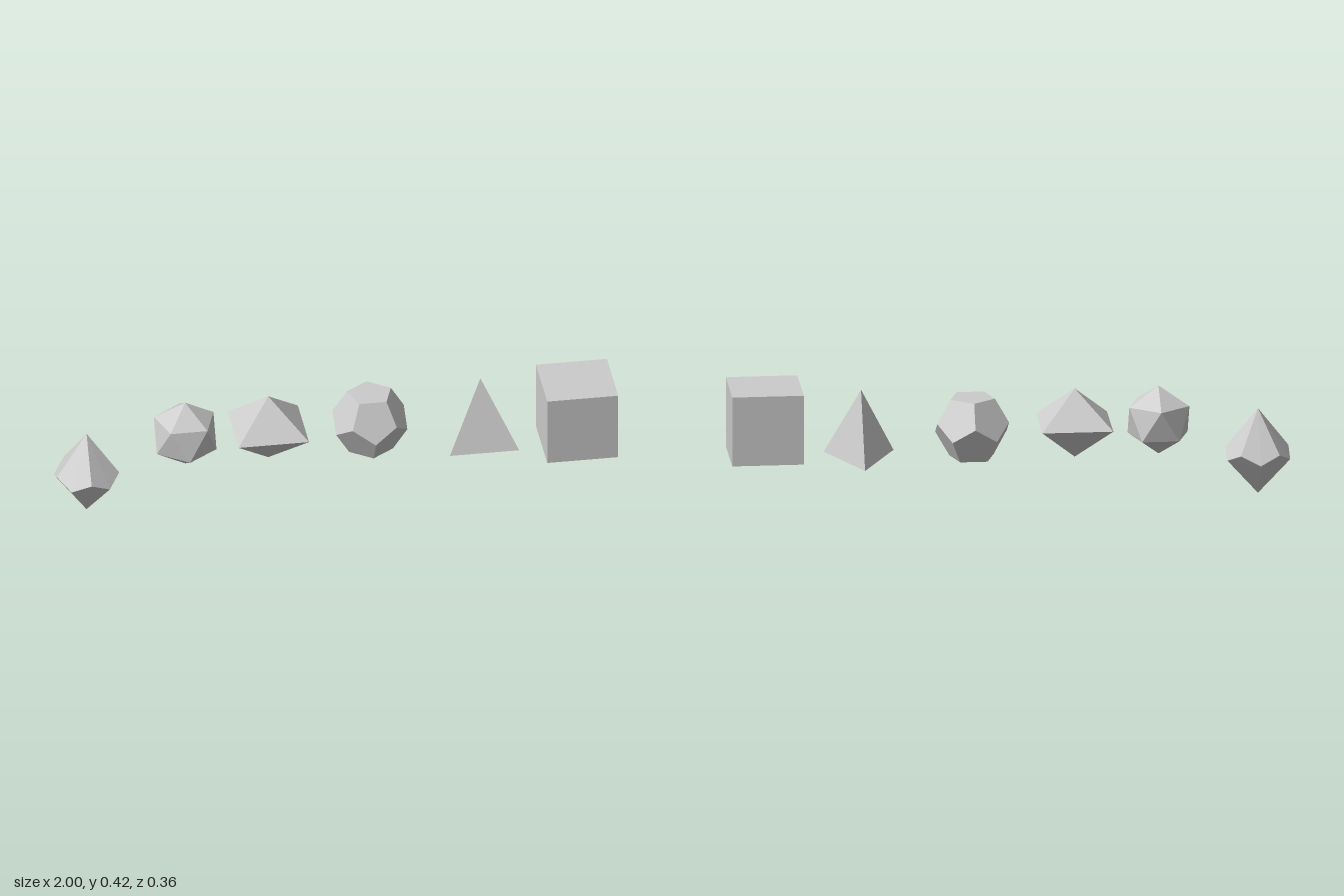
import * as THREE from 'three';
import { ConvexGeometry } from 'three/addons/geometries/ConvexGeometry.js';

const material = new THREE.MeshStandardMaterial({ color: 0xcccccc, flatShading: true });

// Regular ring of n points around the y axis; start is measured from +z in degrees
function ring(n, radius, y, start = 0) {
  const points = [];
  for (let i = 0; i < n; i++) {
    const a = THREE.MathUtils.degToRad(start) + (i * 2 * Math.PI) / n;
    points.push(new THREE.Vector3(radius * Math.sin(a), y, radius * Math.cos(a)));
  }
  return points;
}

const tip = (y) => new THREE.Vector3(0, y, 0);

export function createModel() {
  const group = new THREE.Group();

  function add(name, geometry, x, y, z) {
    const mesh = new THREE.Mesh(geometry, material);
    mesh.name = name;
    mesh.position.set(x, y, z);
    group.add(mesh);
  }
  const solid = (name, points, x, y, z) => add(name, new ConvexGeometry(points), x, y, z);

  // Ten-sided die: two tips and a zigzag belt
  solid('tenSidedDie', [
    tip(0), tip(0.315),
    ...ring(5, 0.118, 0.165), ...ring(5, 0.118, 0.133, 36),
  ], -0.886, 0, -0.031);

  // Twenty-sided die standing on a vertex
  const r20 = 0.1265;
  solid('twentySidedDie', [
    tip(r20), tip(-r20),
    ...ring(5, 0.8944 * r20, 0.4472 * r20, 180), ...ring(5, 0.8944 * r20, -0.4472 * r20),
  ], -0.53, 0.283, -0.032);

  // Eight-sided die: square belt parallel to the axes
  solid('eightSidedDie', [
    tip(0.127), tip(-0.127), ...ring(4, 0.127 * Math.SQRT2, 0, 45),
  ], -0.23, 0.28, -0.033);

  // Twelve-sided die lying on a face
  const r12 = 0.1375;
  const rings12 = [[0.607, 0.8045], [0.9822, 0.19]];
  solid('twelveSidedDie', rings12.flatMap(([r, y]) => [
    ...ring(5, r * r12, y * r12, 180), ...ring(5, r * r12, -y * r12),
  ]), 0.137, 0.2735, -0.033);

  // Four-sided die with a flat edge to the front
  solid('fourSidedDie', [
    new THREE.Vector3(-0.125, 0, 0.077), new THREE.Vector3(0.125, 0, 0.077),
    new THREE.Vector3(0, 0, -0.177), new THREE.Vector3(0, 0.255, -0.018),
  ], 0.533, 0.163, 0);

  // Six-sided die
  add('sixSidedDie', new THREE.BoxGeometry(0.256, 0.256, 0.256), 0.871, 0.291, 0.051);

  return group;
}
